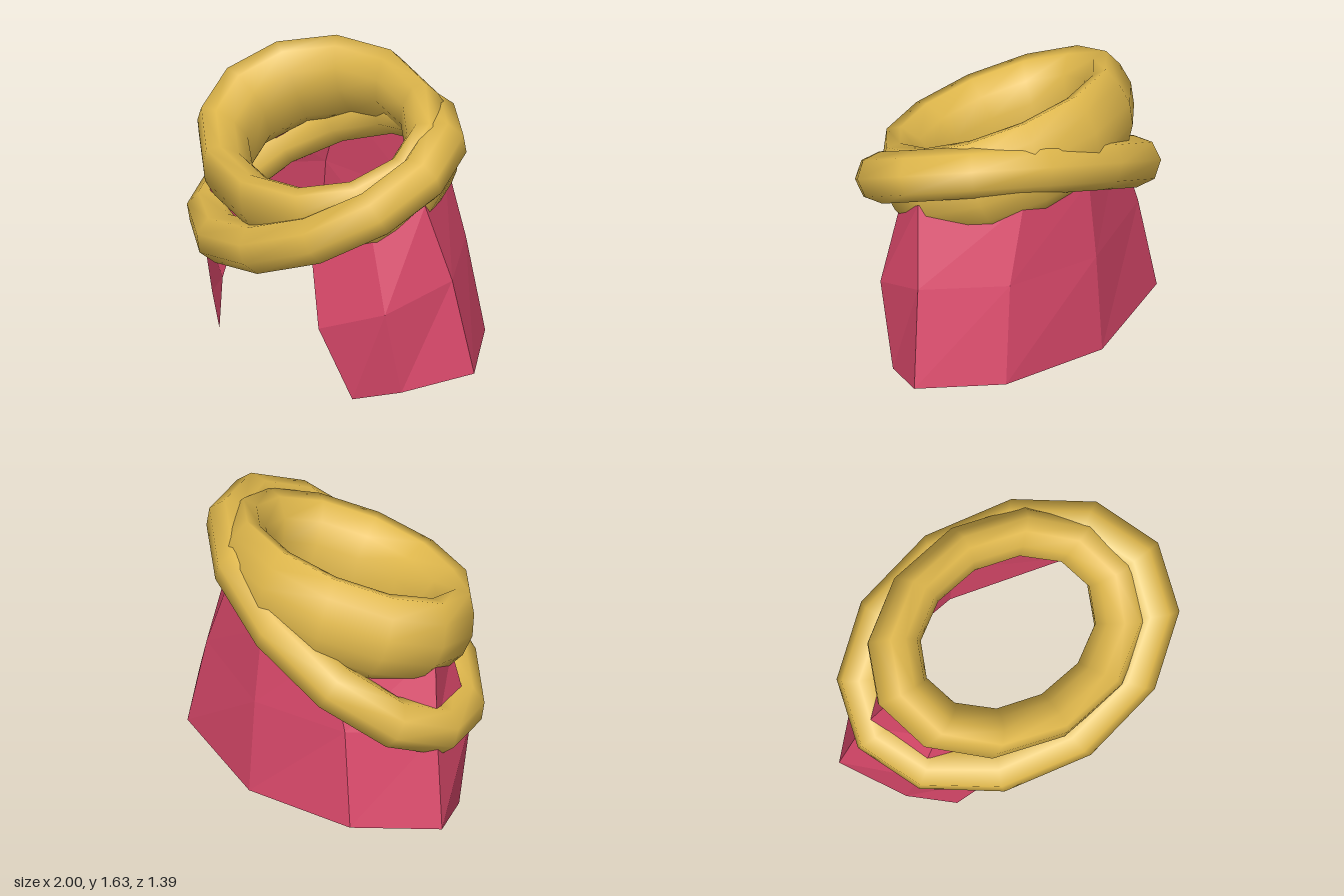
import * as THREE from 'three';

const gold = new THREE.MeshStandardMaterial({ color: 0xe0b84c });
const pink = new THREE.MeshStandardMaterial({ color: 0xd9486a, flatShading: true, side: THREE.DoubleSide });

// Grid of points (rows of equal length) turned into an indexed surface
function gridGeometry(rows, closed) {
  const n = rows.length, m = rows[0].length, index = [];
  const jMax = closed ? n : n - 1, iMax = closed ? m : m - 1;
  for (let j = 0; j < jMax; j++) {
    for (let i = 0; i < iMax; i++) {
      const j2 = (j + 1) % n, i2 = (i + 1) % m;
      const a = j * m + i, b = j2 * m + i, c = j * m + i2, d = j2 * m + i2;
      index.push(a, c, b, b, c, d);
    }
  }
  const g = new THREE.BufferGeometry();
  g.setAttribute('position', new THREE.Float32BufferAttribute(rows.flat(2), 3));
  g.setIndex(index);
  g.computeVertexNormals();
  return g;
}

// Closed cross-section [rx, rz, height] swept round an ellipse, then tilted so
// that its plane rises by slopeX along x and by slopeZ along z
function tiltedBand(name, profile, center, slopeX, slopeZ, phase) {
  const rows = [], sides = 12;
  for (let j = 0; j < sides; j++) {
    const t = (j / sides) * Math.PI * 2 + phase;
    rows.push(profile.map(([rx, rz, h]) => [rx * Math.cos(t), h, rz * Math.sin(t)]));
  }
  const mesh = new THREE.Mesh(gridGeometry(rows, true), gold);
  const normal = new THREE.Vector3(-slopeX, 1, -slopeZ).normalize();
  mesh.quaternion.setFromUnitVectors(new THREE.Vector3(0, 1, 0), normal);
  mesh.position.set(...center);
  mesh.name = name;
  return mesh;
}

export function createModel() {
  const model = new THREE.Group();
  model.name = 'capeWithScarf';

  // Tall upper wrap: bulging outside, funnel-shaped inside
  const collar = [
    [0.62, 0.48, -0.52], [0.72, 0.56, -0.45], [0.79, 0.62, -0.34], [0.81, 0.64, -0.22],
    [0.78, 0.62, -0.1], [0.72, 0.58, 0], [0.63, 0.51, -0.01], [0.55, 0.43, -0.1],
    [0.51, 0.38, -0.22], [0.54, 0.42, -0.42],
  ];
  model.add(tiltedBand('scarfCollar', collar, [-0.03, 1.42, 0.08], 0, -0.39, 0));

  // Loose lower wrap: a round roll hanging towards the right front
  const roll = [];
  for (let i = 0; i < 8; i++) {
    const p = (i / 8) * Math.PI * 2, r = 0.14;
    roll.push([0.86 + r * Math.cos(p), 0.6 + r * Math.cos(p), r * Math.sin(p)]);
  }
  model.add(tiltedBand('scarfLowerWrap', roll, [-0.03, 1.01, 0], 0.42, -0.41, -0.06));

  // Cape open at the front: columns of bottom, middle and top points, front edge to back centre
  const half = [
    [[0.54, 0, 0.32], [0.39, 0.41, 0.43], [0.28, 0.82, 0.385]],
    [[0.77, 0.08, 0.17], [0.75, 0.58, 0.27], [0.62, 0.97, 0.245]],
    [[1, 0.175, -0.15], [0.89, 0.72, -0.09], [0.77, 1.16, 0]],
    [[0.67, 0.18, -0.52], [0.57, 0.73, -0.47], [0.42, 1.17, -0.45]],
  ];
  const back = [[0, 0.135, -0.66], [0, 0.7, -0.62], [0, 1.15, -0.57]];
  const mirrored = half.map(col => col.map(([x, y, z]) => [-x, y, z])).reverse();
  const cape = new THREE.Mesh(gridGeometry([...half, back, ...mirrored].reverse(), false), pink);
  cape.name = 'cape';
  model.add(cape);

  return model;
}
